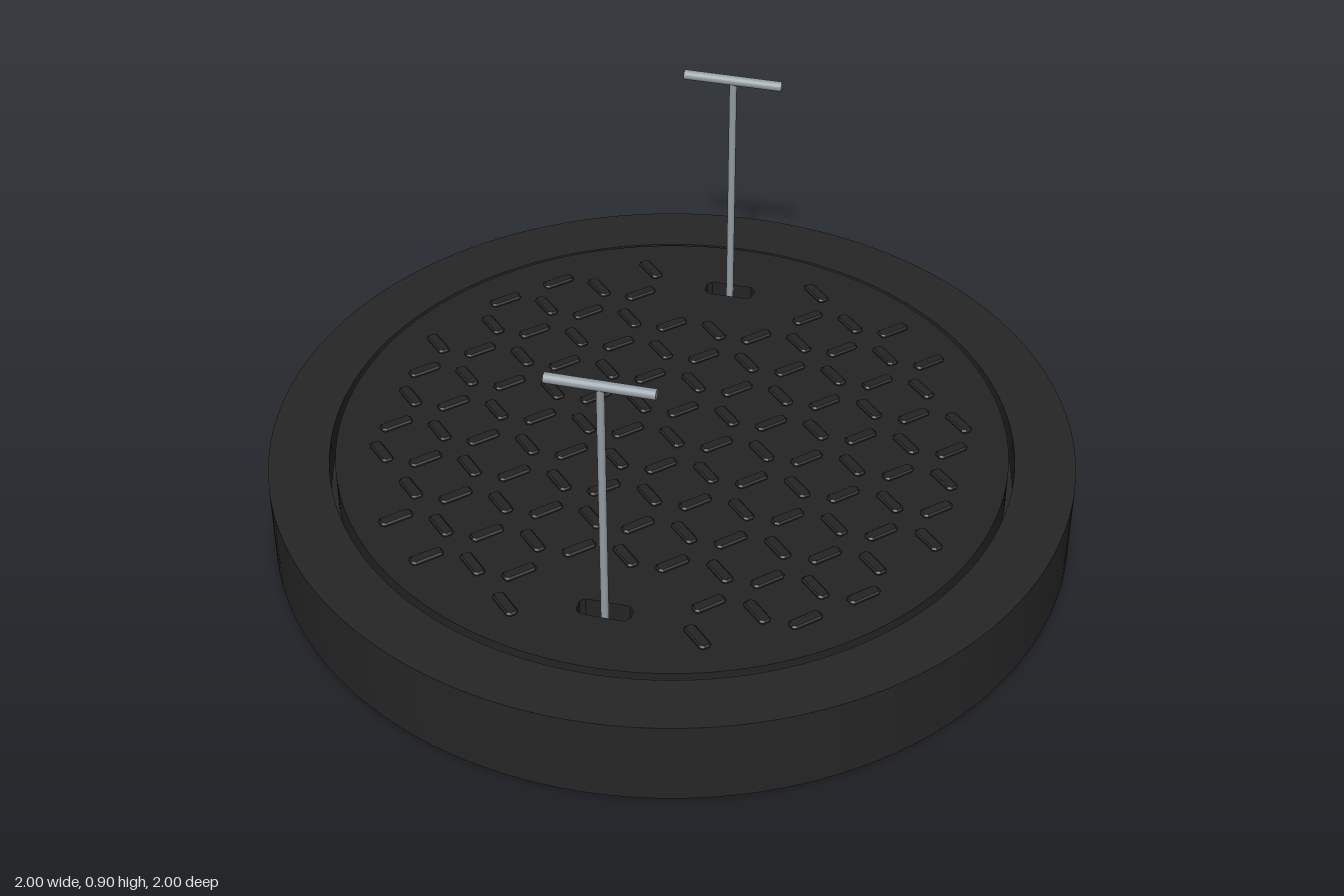
import * as THREE from 'three';
import { toCreasedNormals } from 'three/addons/utils/BufferGeometryUtils.js';

const iron = new THREE.MeshStandardMaterial({ color: 0x262626 });
iron.name = 'frame iron';
const coverIron = new THREE.MeshStandardMaterial({ color: 0x242424 });
coverIron.name = 'cover iron';
const steel = new THREE.MeshStandardMaterial({ color: 0x929ca3 });
steel.name = 'steel';

const COVER_BOTTOM = 0.14, COVER_TOP = 0.228, SLOT_Z = 0.645;

function add(parent, name, geometry, material, x = 0, y = 0, z = 0) {
  const mesh = new THREE.Mesh(geometry, material);
  mesh.name = name;
  mesh.position.set(x, y, z);
  parent.add(mesh);
  return mesh;
}

// Rectangle with cut corners, centred on (cx, cy)
function cutRect(Kind, w, h, cut, cx = 0, cy = 0) {
  const a = w / 2, b = h / 2;
  const points = [
    [-a + cut, -b], [a - cut, -b], [a, -b + cut], [a, b - cut],
    [a - cut, b], [-a + cut, b], [-a, b - cut], [-a, -b + cut],
  ].map(([x, y]) => new THREE.Vector2(cx + x, cy + y));
  return new Kind(points);
}

// Outer frame with an inner ledge that carries the cover
function buildFrame(group) {
  const profile = [
    [0.85, 0], [1, 0], [1, 0.222], [0.85, 0.222], [0.85, COVER_BOTTOM],
    [0.79, COVER_BOTTOM], [0.79, 0.09], [0.85, 0.09], [0.85, 0],
  ].map(([r, y]) => new THREE.Vector2(r, y));
  add(group, 'frame', toCreasedNormals(new THREE.LatheGeometry(profile, 128), 0.6), iron);
}

// Round plate with two lifting slots cut right through
function buildPlate(group) {
  const disc = new THREE.Shape();
  disc.absarc(0, 0, 0.835, 0, Math.PI * 2);
  for (const s of [-1, 1]) {
    disc.holes.push(cutRect(THREE.Path, 0.13, 0.052, 0.012, 0, s * SLOT_Z));
  }
  const plate = new THREE.ExtrudeGeometry(disc, {
    depth: COVER_TOP - COVER_BOTTOM, bevelEnabled: false, curveSegments: 128,
  });
  plate.rotateX(-Math.PI / 2);
  add(group, 'coverPlate', toCreasedNormals(plate, 0.6), coverIron, 0, COVER_BOTTOM, 0);
}

// Raised grip bars in an alternating diagonal grid
function buildTreads(group) {
  const tread = new THREE.ExtrudeGeometry(cutRect(THREE.Shape, 0.076, 0.022, 0.005), {
    depth: 0.004, bevelEnabled: true, bevelThickness: 0.004, bevelSize: 0.004, bevelSegments: 1,
  });
  tread.rotateX(-Math.PI / 2);
  const step = 0.114;
  for (let i = -6; i <= 6; i++) {
    for (let j = -6; j <= 6; j++) {
      const besideSlot = Math.abs(i) < 2 && Math.abs(j) > 4;
      if (Math.hypot(i, j) > 6.5 || besideSlot) continue;
      const bar = add(group, 'tread', tread, coverIron, i * step, COVER_TOP, j * step);
      bar.rotation.y = ((i + j) % 2 === 0 ? -1 : 1) * Math.PI / 4;
    }
  }
}

// Radial stiffening ribs under the plate
function buildRibs(group) {
  const rib = new THREE.BoxGeometry(0.7, 0.04, 0.03);
  rib.translate(0.42, COVER_BOTTOM - 0.02, 0);
  for (let k = 0; k < 8; k++) {
    add(group, 'rib', rib, coverIron).rotation.y = (k + 0.5) * Math.PI / 4;
  }
}

// Lifting key: stem, top handle and the foot below the slot
function buildKey(group, z) {
  const key = new THREE.Group();
  key.name = 'liftingKey';
  key.position.z = z;
  const rod = (name, radius, length, y) =>
    add(key, name, new THREE.CylinderGeometry(radius, radius, length, 20), steel, 0, y, 0);
  rod('stem', 0.0095, 0.785, 0.4925);
  rod('handle', 0.0125, 0.252, 0.883).rotation.z = Math.PI / 2;
  rod('foot', 0.0125, 0.1, 0.103).rotation.z = Math.PI / 2;
  group.add(key);
}

export function createModel() {
  const model = new THREE.Group();
  model.name = 'accessCover';
  buildFrame(model);

  const cover = new THREE.Group();
  cover.name = 'cover';
  buildPlate(cover);
  buildTreads(cover);
  buildRibs(cover);
  model.add(cover);

  for (const s of [-1, 1]) buildKey(model, s * SLOT_Z);
  return model;
}
